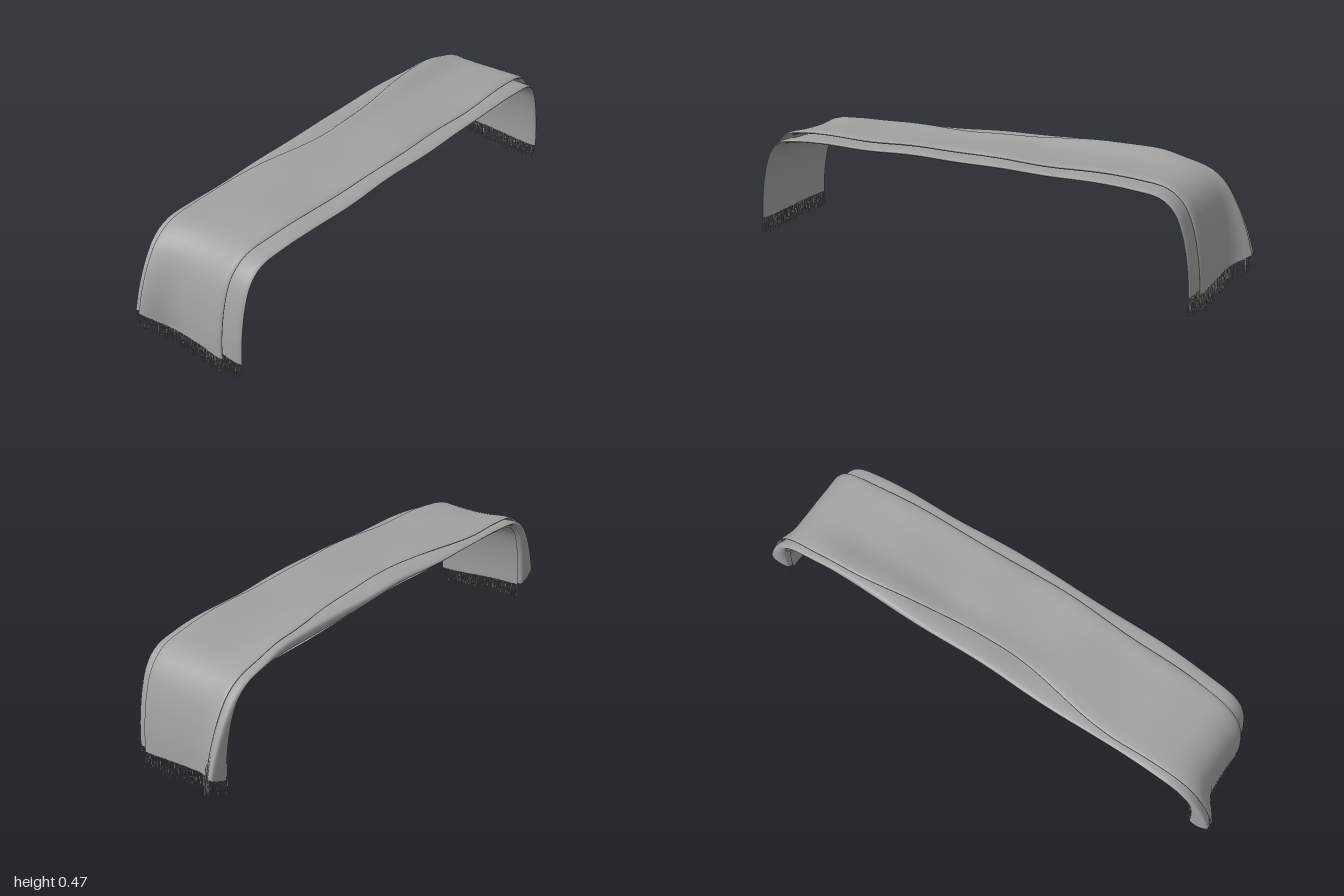
import * as THREE from 'three';
import { mergeGeometries } from 'three/addons/utils/BufferGeometryUtils.js';

const { smoothstep, clamp, lerp } = THREE.MathUtils;

// Underside of the drape, from the right hem over the top to the left hem
const half = [[0.898, 0.068], [0.891, 0.16], [0.87, 0.27], [0.84, 0.345], [0.795, 0.385], [0.7, 0.402], [0.35, 0.411]];
const drape = new THREE.CatmullRomCurve3([
  ...half.map(([x, y]) => new THREE.Vector3(-x, y, 0)),
  new THREE.Vector3(0, 0.417, 0),
  ...half.slice().reverse().map(([x, y]) => new THREE.Vector3(x, y, 0)),
]);

// Cross-section of the folded cloth: x = depth (z), y = height above the underside.
// It runs forward, folds back, forward again and back once more.
function foldSection(x) {
  const a = Math.min(Math.abs(x) / 0.9, 1);
  const front = lerp(0.219, 0.19, a * a);
  const frontUpper = lerp(0.173, x < 0 ? 0.125 : 0.145, a * a);
  const back = -0.217;
  const flapEdge = lerp(-0.13, -0.19, smoothstep(a, 0.05, 0.65));
  const points = [
    [-0.195, 0.002], [-0.1, 0], [0.08, 0], [front - 0.014, 0.001], [front, 0.007],
    [front - 0.012, 0.013], [0.08, 0.012], [-0.1, 0.012], [back + 0.014, 0.013], [back, 0.019],
    [back + 0.012, 0.025], [-0.12, 0.023], [0.06, 0.023], [frontUpper - 0.012, 0.024], [frontUpper, 0.03],
    [frontUpper - 0.011, 0.036], [0.06, 0.035], [-0.04, 0.035], [flapEdge + 0.012, 0.038], [flapEdge, 0.034],
    [flapEdge + 0.012, 0.028],
  ];
  return new THREE.CatmullRomCurve3(points.map(([z, h]) => new THREE.Vector3(z, h, 0)));
}

// Places a section point on the drape, with flared rear corners and soft wrinkles
function place(base, tangent, sec) {
  const z = sec.x;
  const right = base.x < 0;
  const end = clamp((0.4 - base.y) / 0.33, 0, 1);
  const upper = smoothstep(sec.y, 0.012, 0.024);
  const rear = smoothstep(-z, right ? 0.08 : 0.12, 0.21);
  const flare = end * upper * rear * (right ? 0.06 : 0.068);
  const wrinkle = 0.002 * upper * Math.sin(base.x * 9 + z * 14) + 0.0015 * Math.sin(base.x * 17 - z * 9);
  const crest = smoothstep(base.x, -0.35, 0.35) * (1 - smoothstep(base.x, 0.6, 0.8));
  const rise = 0.023 * crest * upper * smoothstep(-z, 0.06, 0.18);
  const h = sec.y + flare + wrinkle + rise;
  const lift = end * (0.025 * smoothstep(-z, -0.2, 0.15) + (right ? 0.05 : 0.03) * rear * upper);
  return new THREE.Vector3(
    base.x - tangent.y * h,
    base.y + tangent.x * h + lift,
    z + 0.003 * Math.sin(base.x * 11 + sec.y * 90) * (1 - end),
  );
}

function clothGeometry(along, across) {
  const positions = [], index = [];
  for (let i = 0; i <= along; i++) {
    const base = drape.getPointAt(i / along);
    const tangent = drape.getTangentAt(i / along);
    const section = foldSection(base.x);
    for (let j = 0; j <= across; j++) {
      positions.push(...place(base, tangent, section.getPoint(j / across)).toArray());
      if (i < along && j < across) {
        const a = i * (across + 1) + j, b = a + across + 1;
        index.push(a, a + 1, b, b, a + 1, b + 1);
      }
    }
  }
  const geometry = new THREE.BufferGeometry();
  geometry.setAttribute('position', new THREE.Float32BufferAttribute(positions, 3));
  geometry.setIndex(index);
  geometry.computeVertexNormals();
  return geometry;
}

// Seeded jitter in -1..1
let seed = 7;
const jitter = () => {
  seed = (seed * 16807) % 2147483647;
  return (seed / 2147483647) * 2 - 1;
};

// Two wavy strands hang from each knot along one hem
function fringeGeometry(u, count) {
  const base = drape.getPointAt(u);
  const tangent = drape.getTangentAt(u);
  const section = foldSection(base.x);
  const strands = [];
  for (let i = 0; i <= count; i++) {
    const knot = place(base, tangent, section.getPointAt(i / count));
    for (const side of [-1, 1]) {
      const length = 0.064 + 0.008 * jitter();
      const hang = (t, spread) => new THREE.Vector3(
        knot.x + 0.006 * jitter() * t,
        knot.y + 0.003 - length * t,
        knot.z + side * spread + 0.003 * jitter() * t,
      );
      const path = new THREE.CatmullRomCurve3([hang(0, 0), hang(0.35, 0.0008), hang(0.7, 0.0018), hang(1, 0.0012)]);
      strands.push(new THREE.TubeGeometry(path, 4, 0.0014, 4));
    }
  }
  return mergeGeometries(strands);
}

export function createModel() {
  const group = new THREE.Group();
  group.name = 'foldedThrow';
  const material = new THREE.MeshStandardMaterial({ color: 0xa1a1a1, side: THREE.DoubleSide });
  const add = (name, geometry) => {
    const mesh = new THREE.Mesh(geometry, material);
    mesh.name = name;
    group.add(mesh);
  };

  add('foldedCloth', clothGeometry(110, 120));
  add('rightFringe', fringeGeometry(0, 110));
  add('leftFringe', fringeGeometry(1, 110));
  return group;
}
